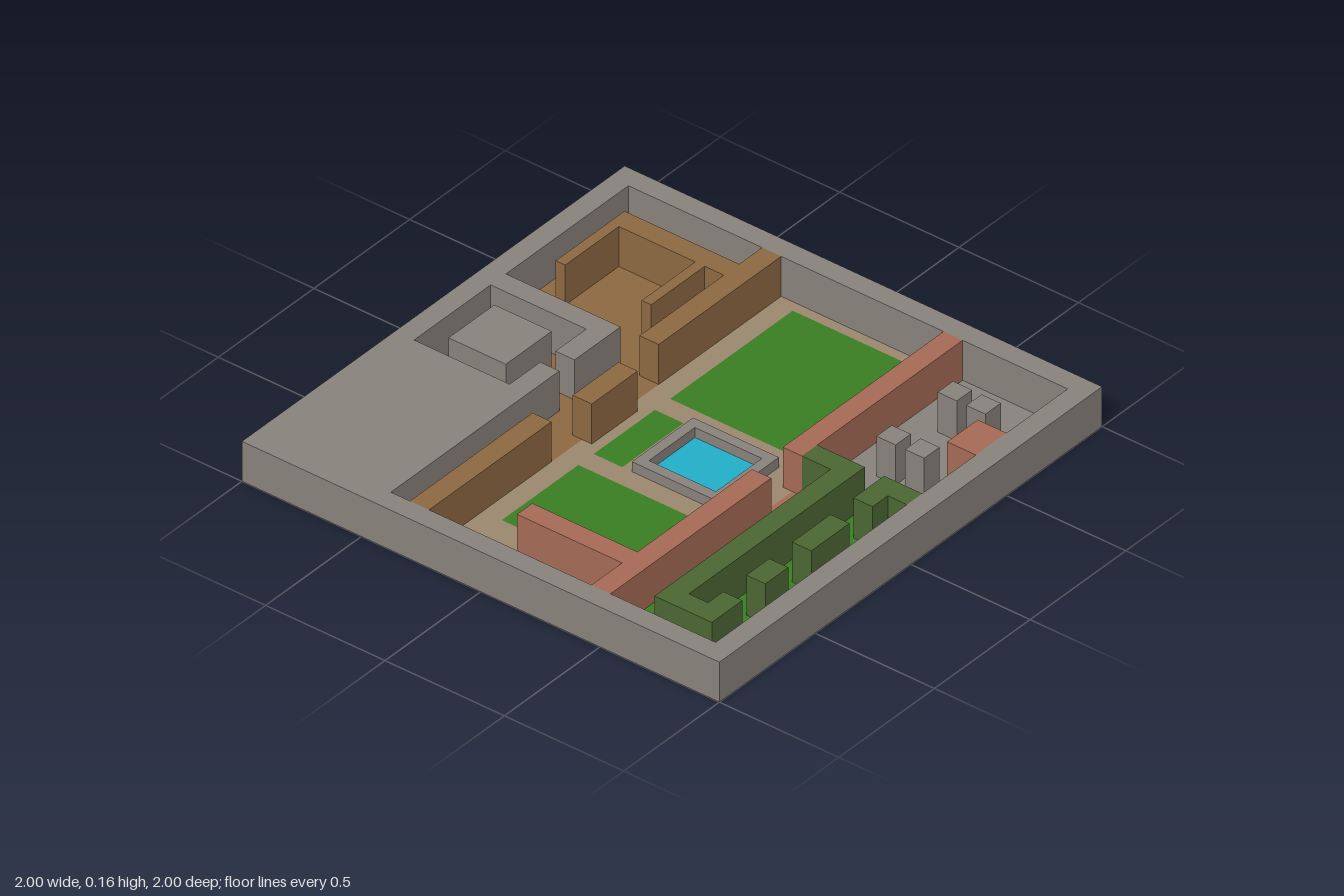
import * as THREE from 'three';
import { mergeGeometries } from 'three/addons/utils/BufferGeometryUtils.js';

const U = 0.04;   // one plan cell
const H = 0.16;   // wall height
const mat = (name, color) => new THREE.MeshStandardMaterial({ name, color, side: THREE.DoubleSide });

// All plans are [x, z] corners in cells
const rect = (x0, z0, x1, z1) => [[x0, z0], [x1, z0], [x1, z1], [x0, z1]];

function inside(pts, x, z) {
  let hit = false;
  pts.forEach(([ax, az], i) => {
    const [bx, bz] = pts[(i + 1) % pts.length];
    if ((az > z) !== (bz > z) && x < ax + (bx - ax) * (z - az) / (bz - az)) hit = !hit;
  });
  return hit;
}

// Flat plan face at height y, with optional holes
function cap(pts, holes, y) {
  const v = p => p.map(([x, z]) => new THREE.Vector2(x * U, -z * U));
  const shape = new THREE.Shape(v(pts));
  holes.forEach(h => shape.holes.push(new THREE.Path(v(h))));
  return new THREE.ShapeGeometry(shape).rotateX(-Math.PI / 2).translate(0, y, 0);
}

// Upright face from a to b
function panel(a, b, h) {
  const dx = (b[0] - a[0]) * U, dz = (b[1] - a[1]) * U;
  return new THREE.PlaneGeometry(Math.hypot(dx, dz), h)
    .rotateY(Math.atan2(-dz, dx) + Math.PI)
    .translate((a[0] + b[0]) * U / 2, h / 2, (a[1] + b[1]) * U / 2);
}
const fence = (pts, h) => pts.map((p, i) => panel(p, pts[(i + 1) % pts.length], h));

export function createModel() {
  const stone = mat('stone', 0x88817b);
  const sand = mat('sand', 0x9a886d);
  const wood = mat('brown', 0x8c6842);
  const brick = mat('brick', 0xa56a55);
  const grass = mat('grass', 0x3a7d22);
  const hedge = mat('hedge', 0x4b6633);
  const water = mat('water', 0x22aec8);

  const model = new THREE.Group();
  const add = (name, geos, material) => {
    const mesh = new THREE.Mesh(mergeGeometries(geos), material);
    mesh.name = name;
    model.add(mesh);
  };

  // Surrounding stone mass with the sunken courtyards cut out
  const outer = rect(-25, -25, 25, 25);
  const pit = [[23, -23], [23, 23], [-11, 23], [-11, 1], [-13, 1], [-13, 5], [-23, 5], [-23, -5],
    [-13, -5], [-13, -1], [-11, -1], [-11, -7], [-23, -7], [-23, -23]];
  const pitWalls = fence([...pit].reverse(), H);
  const eastIndex = pit.length - 2;   // the long edge at x = 23
  const [eastWall] = pitWalls.splice(eastIndex, 1);
  add('surroundingMass', [cap(outer, [pit], H), ...fence(outer, H), ...pitWalls], stone);
  add('eastBrickWall', [eastWall], brick);

  // Standing walls, hedges and pillars, open underneath
  const blocks = [
    ['westRoomWall', wood, [[-9, -23], [-7, -23], [-7, -7], [-9, -7], [-9, -18], [-11, -18], [-11, -11],
      [-12, -11], [-12, -18], [-20, -18], [-20, -11], [-21, -11], [-21, -20], [-9, -20]]],
    ['corridorWall', wood, rect(-9, 7, -7, 23)],
    ['gateBlock', wood, rect(-8, -3, -6, 3)],
    ['ringRoomCore', stone, rect(-21, -3, -15, 3)],
    ['northBrickWall', brick, rect(10, -23, 12, -2)],
    ['southBrickWall', brick, [[10, 2], [12, 2], [12, 23], [10, 23], [10, 19], [-1, 19], [-1, 17], [10, 17]]],
    ['buttress', brick, rect(20, -15, 23, -11)],
    ['longHedge', hedge, [[12, -4], [17, -4], [17, 19], [19, 19], [19, 17], [21, 17], [21, 21], [15, 21],
      [15, -2], [12, -2]]],
    ['cornerHedge', hedge, [[19, -4], [23, -4], [23, -2], [21, -2], [21, 0], [19, 0]]],
    ['hedgeBlock', hedge, rect(19, 3, 21, 8)],
    ['hedgeBlock', hedge, rect(19, 11, 21, 14)],
    ['poolRim', stone, rect(-1, -4, 8, 4), 0.04, [rect(0, -3, 7, 3)]],
    ['cellarWall', stone, [[-21, 11], [-15, 11], [-15, 19], [-19, 19], [-19, 15], [-17, 15], [-17, 13],
      [-21, 13]], 0.15],
  ];
  for (const x of [15, 18]) for (const z of [-18, -10])
    blocks.push(['pillar', stone, rect(x, z, x + 2, z + 2)]);
  for (const [name, material, pts, h = H, holes = []] of blocks)
    add(name, [cap(pts, holes, h), ...fence(pts, h), ...holes.flatMap(p => fence([...p].reverse(), h))], material);

  // Floor zones; later ones lie over earlier ones
  const zones = [
    ['courtyardFloor', sand, rect(-7, -23, 11, 23)],
    ['doorSill', brick, rect(11, -2, 12, 2)],
    ['westRoomFloor', wood, rect(-23, -23, -7, -7)],
    ['corridorFloor', wood, rect(-11, -7, -7, 23)],
    ['ringRoomFloor', wood, rect(-23, -5, -13, 5)],
    ['passageFloor', wood, rect(-13, -1, -11, 1)],
    ['pillarRoomFloor', stone, rect(12, -23, 23, -4)],
    ['cellarFloor', stone, rect(-23, 7, -13, 23)],
    ['hedgeGardenLawn', grass, rect(12, -4, 23, 23)],
    ['northLawn', grass, rect(-5, -22, 9, -6)],
    ['smallLawn', grass, rect(-5, -4, -2, 4)],
    ['southLawn', grass, rect(-5, 6, 9, 16)],
    ['poolWater', water, rect(0, -3, 7, 3)],
  ];
  const zoneAt = (x, z) => {
    const covered = blocks.some(([, , pts, , holes = []]) =>
      inside(pts, x, z) && !holes.some(p => inside(p, x, z)));
    return covered ? -1 : zones.findLastIndex(([, , pts]) => inside(pts, x, z));
  };

  // Sweep the plan row by row, joining equal runs into larger tiles
  const tiles = [];
  for (let z = -23; z < 23; z++) {
    for (let x = -23; x < 23;) {
      const zone = zoneAt(x + 0.5, z + 0.5), start = x;
      while (x < 23 && zoneAt(x + 0.5, z + 0.5) === zone) x++;
      if (zone < 0) continue;
      const above = tiles.find(t => t.zone === zone && t.x0 === start && t.x1 === x && t.z1 === z);
      if (above) above.z1 = z + 1;
      else tiles.push({ zone, x0: start, x1: x, z0: z, z1: z + 1 });
    }
  }
  zones.forEach(([name, material], i) => {
    const own = tiles.filter(t => t.zone === i);
    add(name, own.map(t => cap(rect(t.x0, t.z0, t.x1, t.z1), [], 0)), material);
  });

  return model;
}
